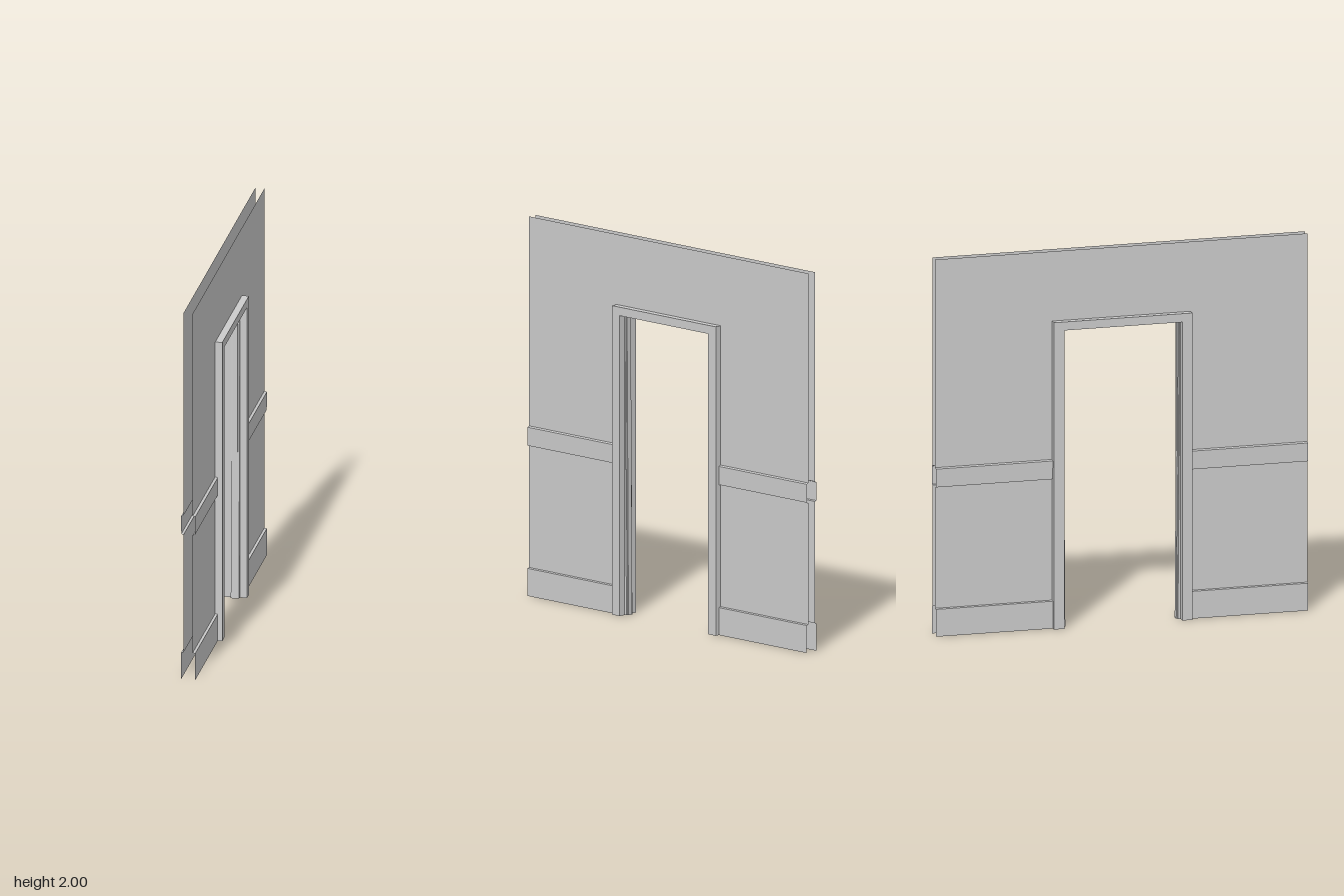
import * as THREE from 'three';

const material = new THREE.MeshStandardMaterial({ color: 0xcccccc, side: THREE.DoubleSide, flatShading: true });

// Flat-shaded strip joining successive cross-sections (arrays of [x, y, z])
function loft(name, sections) {
  const pos = [];
  for (let s = 0; s < sections.length - 1; s++) {
    const a = sections[s], b = sections[s + 1];
    for (let i = 0; i < a.length - 1; i++) {
      pos.push(...a[i], ...a[i + 1], ...b[i + 1], ...a[i], ...b[i + 1], ...b[i]);
    }
  }
  const geo = new THREE.BufferGeometry();
  geo.setAttribute('position', new THREE.Float32BufferAttribute(pos, 3));
  geo.computeVertexNormals();
  const mesh = new THREE.Mesh(geo, material);
  mesh.name = name;
  return mesh;
}

const HALF_OPENING = 0.317, OPENING_TOP = 1.585, CASING = 0.055;
const OUTER = HALF_OPENING + CASING, HEAD = 1.63;

// Wall sheet outline [x, y]: skirting, lower panel, chair rail, upper wall
const wallProfile = [
  [0.037, 0], [0.037, 0.145], [0.024, 0.148], [0.024, 0.79], [0.036, 0.793],
  [0.037, 0.89], [0.024, 0.895], [0.024, HEAD], [0.024, 2],
];

// Frame outline [x, distance outward from the opening]: casing, jamb, central stop
const halfFrame = [
  [0.024, CASING], [0.061, CASING], [0.061, 0], [0.024, 0],
  [0.022, -0.002], [0.014, -0.003], [0.014, -0.009], [0.005, -0.009],
];
const frameProfile = [...halfFrame, ...halfFrame.slice().reverse().map(([x, d]) => [-x, d])];

export function createModel() {
  const model = new THREE.Group();
  model.name = 'doorwayWall';

  // Two thin wall sheets with an opening
  for (const side of [1, -1]) {
    const sheet = new THREE.Group();
    sheet.name = side > 0 ? 'leftWallSheet' : 'rightWallSheet';
    const section = (profile, z) => profile.map(([x, y]) => [side * x, y, z]);
    sheet.add(loft('frontWallPanel', [section(wallProfile, OUTER), section(wallProfile, 1)]));
    sheet.add(loft('backWallPanel', [section(wallProfile, -1), section(wallProfile, -OUTER)]));
    const over = wallProfile.slice(-2);
    sheet.add(loft('wallAboveDoor', [section(over, -OUTER), section(over, OUTER)]));
    model.add(sheet);
  }

  // Door frame swept up, across and down; the stop leans in slightly towards the floor
  const post = (sign, foot) => frameProfile.map(([x, d]) => {
    const lean = foot && d < 0 ? 0.01 : 0;
    const rise = d > 0 ? HEAD - OPENING_TOP : d;
    return [x, foot ? 0 : OPENING_TOP + rise, sign * (HALF_OPENING + d - lean)];
  });
  model.add(loft('doorFrame', [post(1, true), post(1, false), post(-1, false), post(-1, true)]));

  return model;
}
